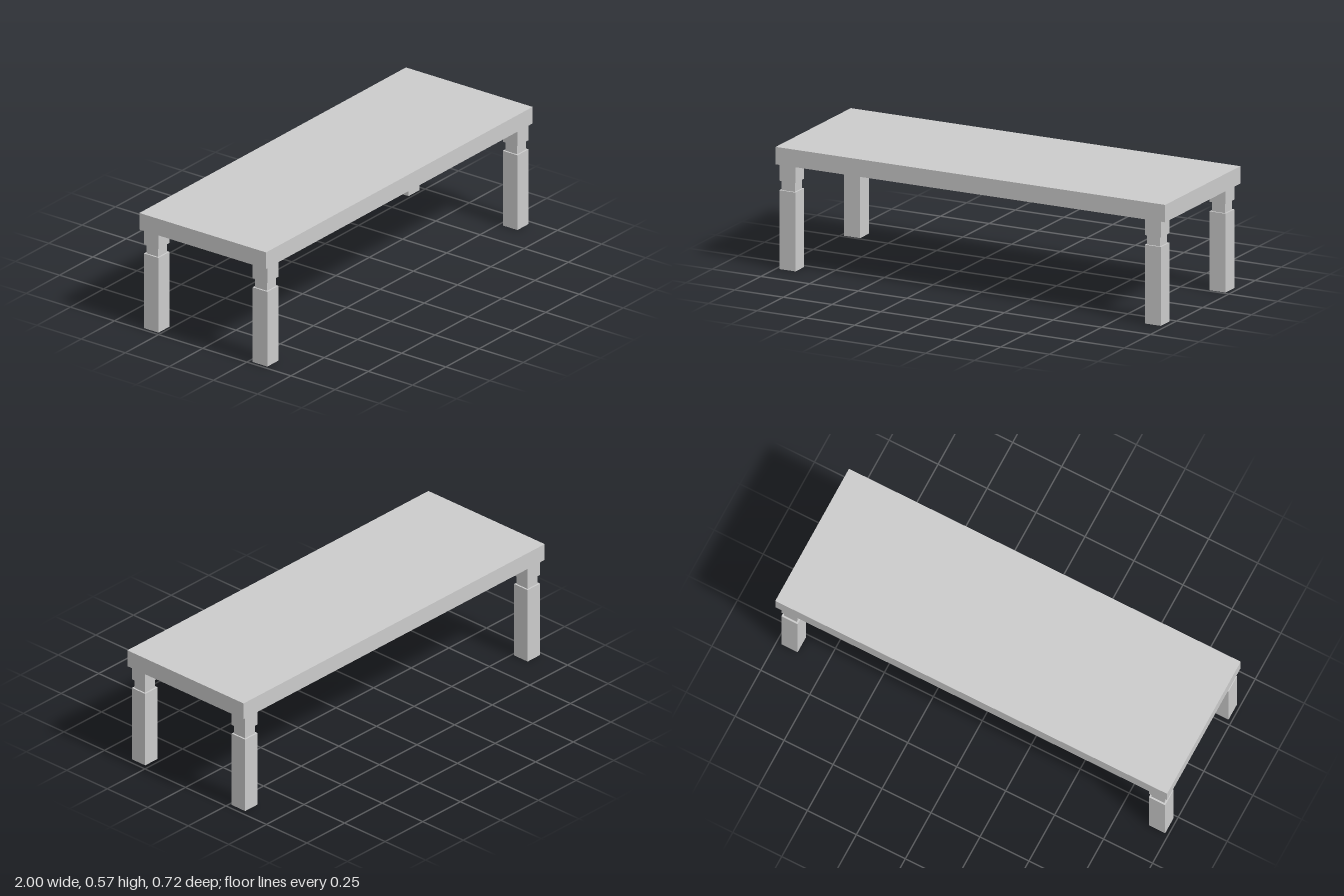
import * as THREE from 'three';

const material = new THREE.MeshStandardMaterial({ color: 0xcccccc, flatShading: true });

// Box spanning heights y0 to y1
function block(name, width, depth, y0, y1) {
  const mesh = new THREE.Mesh(new THREE.BoxGeometry(width, y1 - y0, depth), material);
  mesh.name = name;
  mesh.position.y = (y0 + y1) / 2;
  return mesh;
}

// Square leg with a narrower neck below its top block
function createLeg(name, x, z) {
  const leg = new THREE.Group();
  leg.name = name;
  leg.add(
    block('legPost', 0.083, 0.083, 0, 0.371),
    block('legNeck', 0.067, 0.067, 0.371, 0.416),
    block('legTopBlock', 0.083, 0.083, 0.416, 0.492)
  );
  leg.position.set(x, 0, z);
  return leg;
}

export function createModel() {
  const table = new THREE.Group();
  table.name = 'table';

  // Thick plain slab
  table.add(block('tableTop', 2, 0.718, 0.492, 0.574));

  // Four legs, set very slightly off centre under the slab
  for (const [side, x] of [['Left', 0.934], ['Right', -0.942]]) {
    for (const [end, z] of [['front', 0.3125], ['back', -0.3045]]) {
      table.add(createLeg(`${end}${side}Leg`, x, z));
    }
  }
  return table;
}
